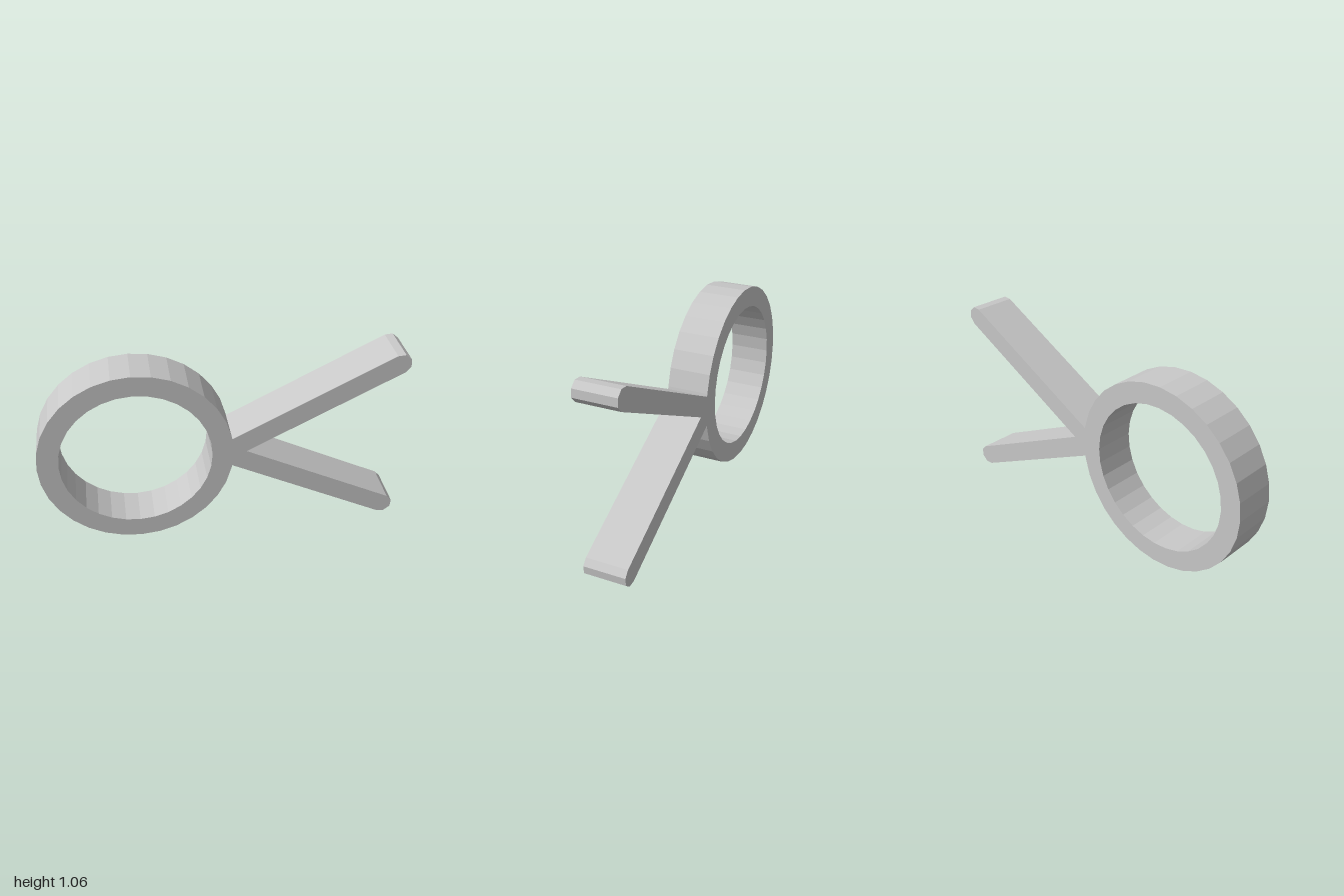
import * as THREE from 'three';

const DEPTH = 0.234;
const MID_Y = 0.53;
const RING = { x: -0.472, outer: 0.528, inner: 0.413, sides: 32 };
const ARM = { x: 0.944, rise: 0.475, radius: 0.0575, angle: Math.atan(0.505) };

// Point on a circle, measured from the mid line
const polar = (x, y, r, a) => new THREE.Vector2(x + r * Math.cos(a), y + r * Math.sin(a));

export function createModel() {
  const group = new THREE.Group();
  const grey = new THREE.MeshStandardMaterial({ color: 0xc8c8c8 });
  grey.name = 'light grey';

  // Upper arm: crotch, faceted round tip, then back to the ring
  const upper = [];
  for (let i = 0; i <= 4; i++) {
    upper.push(polar(ARM.x, ARM.rise, ARM.radius, ARM.angle - Math.PI / 2 + (i * Math.PI) / 4));
  }
  upper.push(new THREE.Vector2(0.049, 0.088));
  const lower = upper.map((p) => new THREE.Vector2(p.x, -p.y)).reverse();

  // Outside of the ring, leaving out the vertex buried between the arms
  const ring = [];
  const hole = [];
  for (let i = 0; i < RING.sides; i++) {
    const a = (i / RING.sides) * Math.PI * 2;
    if (i > 0) ring.push(polar(RING.x, 0, RING.outer, a));
    hole.push(polar(RING.x, 0, RING.inner, a));
  }

  const outline = new THREE.Shape([new THREE.Vector2(0.128, 0), ...upper, ...ring, ...lower]);
  outline.holes.push(new THREE.Path(hole.reverse()));

  // One solid plate: ring with two splayed arms
  const geometry = new THREE.ExtrudeGeometry(outline, { depth: DEPTH, bevelEnabled: false });
  geometry.translate(0, MID_Y, -DEPTH / 2);
  const mesh = new THREE.Mesh(geometry, grey);
  mesh.name = 'ringWithArms';
  group.add(mesh);
  return group;
}
